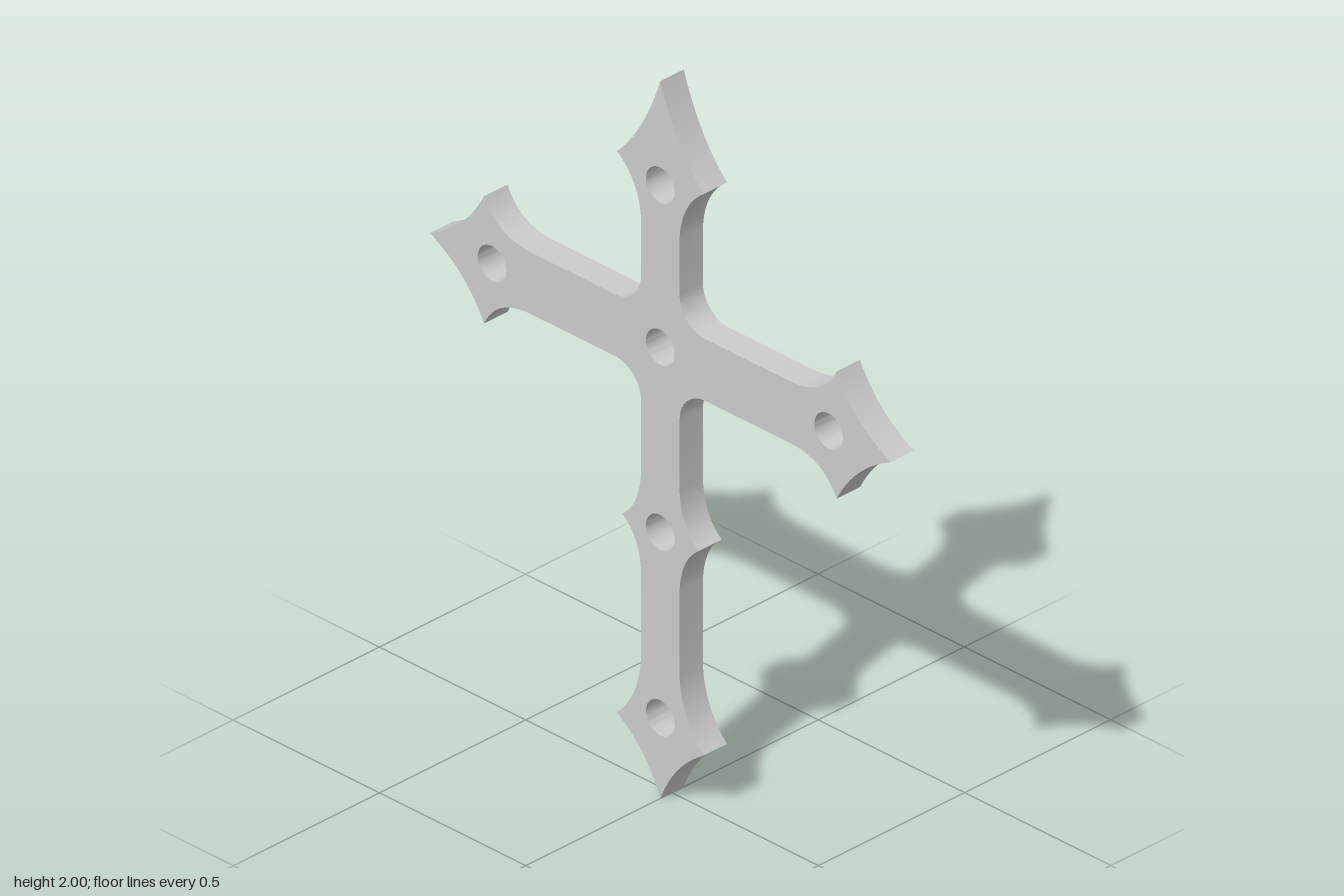
import * as THREE from 'three';
import { toCreasedNormals } from 'three/addons/utils/BufferGeometryUtils.js';

const DEPTH = 0.08;
const HOLE_RADIUS = 0.049;

// Right half of the outline, from the top tip to the bottom tip
function halfOutline() {
  const s = new THREE.Path();
  s.moveTo(0, 2);
  // Top point
  s.quadraticCurveTo(0.055, 1.835, 0.148, 1.745);
  s.quadraticCurveTo(0.072, 1.69, 0.066, 1.59);
  // Upper inner corner
  s.lineTo(0.066, 1.43);
  s.bezierCurveTo(0.066, 1.382, 0.106, 1.343, 0.155, 1.343);
  // Arm with its pointed end
  s.lineTo(0.44, 1.343);
  s.quadraticCurveTo(0.56, 1.343, 0.602, 1.435);
  s.quadraticCurveTo(0.665, 1.315, 0.787, 1.257);
  s.quadraticCurveTo(0.665, 1.2, 0.602, 1.08);
  s.quadraticCurveTo(0.56, 1.171, 0.44, 1.171);
  // Lower inner corner
  s.lineTo(0.155, 1.171);
  s.bezierCurveTo(0.106, 1.171, 0.066, 1.132, 0.066, 1.083);
  // Small spike on the shaft
  s.lineTo(0.066, 0.88);
  s.quadraticCurveTo(0.072, 0.785, 0.13, 0.742);
  s.quadraticCurveTo(0.072, 0.7, 0.066, 0.61);
  // Bottom point
  s.lineTo(0.066, 0.36);
  s.quadraticCurveTo(0.075, 0.25, 0.148, 0.18);
  s.quadraticCurveTo(0.045, 0.115, 0, 0);
  return s.getPoints(12);
}

export function createModel() {
  const group = new THREE.Group();
  group.name = 'pointedCross';

  // Mirror the half outline to close the shape
  const right = halfOutline();
  const left = right.slice(1, -1).reverse().map((p) => new THREE.Vector2(-p.x, p.y));
  const shape = new THREE.Shape([...right, ...left]);

  // Round through holes
  for (const [x, y] of [[0, 1.71], [-0.575, 1.258], [0, 1.258], [0.575, 1.258], [0, 0.742], [0, 0.225]]) {
    const hole = new THREE.Path();
    hole.absarc(x, y, HOLE_RADIUS, 0, Math.PI * 2);
    shape.holes.push(hole);
  }

  const plate = new THREE.ExtrudeGeometry(shape, { depth: DEPTH, bevelEnabled: false, curveSegments: 20 });
  plate.translate(0, 0, -DEPTH / 2);
  const cross = new THREE.Mesh(
    toCreasedNormals(plate, Math.PI / 6),
    new THREE.MeshStandardMaterial({ color: 0xcccccc })
  );
  cross.name = 'crossPlate';
  group.add(cross);
  return group;
}
